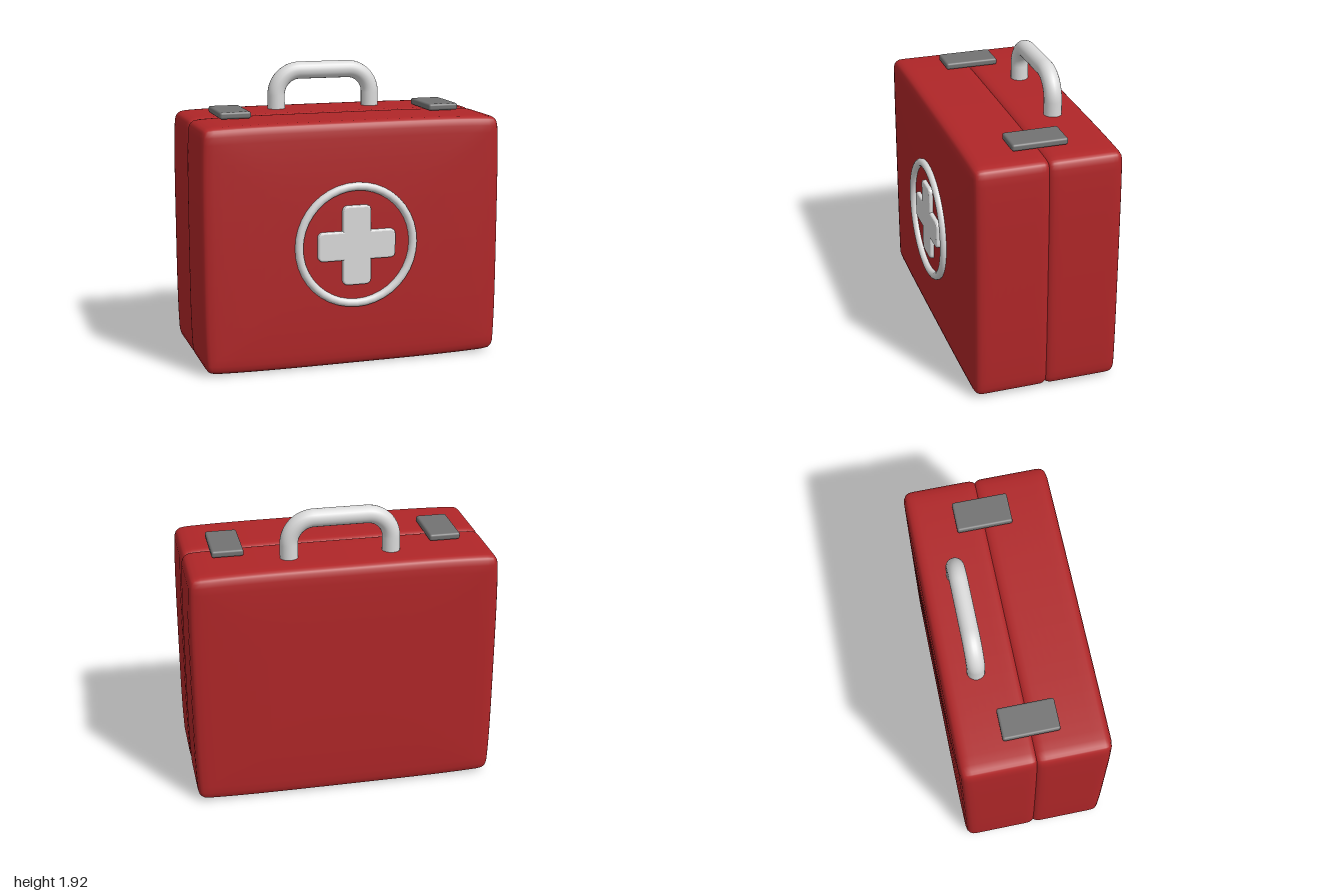
import * as THREE from 'three';
import { mergeVertices } from 'three/addons/utils/BufferGeometryUtils.js';
import { RoundedBoxGeometry } from 'three/addons/geometries/RoundedBoxGeometry.js';

const material = (name, color) => {
  const m = new THREE.MeshStandardMaterial({ color });
  m.name = name;
  return m;
};

// Box with rounded edges whose faces swell slightly towards their middles
function softBox(w, h, d, radius, bulge) {
  const half = [w / 2, h / 2, d / 2];
  const g = new THREE.BoxGeometry(2, 2, 2, 24, 24, 16);
  g.deleteAttribute('normal');
  g.deleteAttribute('uv');
  const pos = g.attributes.position;
  for (let i = 0; i < pos.count; i++) {
    // Crowd the grid towards the edges
    const u = [pos.getX(i), pos.getY(i), pos.getZ(i)].map((c) => Math.sin(c * Math.PI / 2));
    const p = u.map((c, k) => c * half[k]);
    const core = p.map((c, k) => THREE.MathUtils.clamp(c, radius - half[k], half[k] - radius));
    const dir = new THREE.Vector3(...p.map((c, k) => c - core[k])).setLength(radius).toArray();
    const q = core.map((c, k) => c + dir[k]);
    const t = q.map((c, k) => (c / half[k]) ** 4);
    const out = q.map((c, k) => {
      const edge = Math.max(...t.filter((_, j) => j !== k && j !== 2 || (k === 2 && j !== 2)));
      return c - Math.sign(c) * bulge * edge * Math.abs(c / half[k]);
    });
    pos.setXYZ(i, ...out);
  }
  const merged = mergeVertices(g, 1e-4);
  merged.computeVertexNormals();
  return merged;
}

// Plus sign outline with rounded outer corners
function crossShape(reach, arm, r) {
  const s = new THREE.Shape();
  for (let k = 0; k < 4; k++) {
    const a = k * Math.PI / 2;
    const at = (x, y) => [x * Math.cos(a) - y * Math.sin(a), x * Math.sin(a) + y * Math.cos(a)];
    if (k === 0) s.moveTo(...at(arm, -arm));
    else s.lineTo(...at(arm, -arm));
    s.lineTo(...at(reach - r, -arm));
    s.quadraticCurveTo(...at(reach, -arm), ...at(reach, -arm + r));
    s.lineTo(...at(reach, arm - r));
    s.quadraticCurveTo(...at(reach, arm), ...at(reach - r, arm));
  }
  s.closePath();
  return s;
}

export function createModel() {
  const group = new THREE.Group();
  const red = material('case red', 0xb02628);
  const white = material('trim white', 0xdadada);
  const grey = material('latch grey', 0x727272);
  const add = (name, geometry, mat, x, y, z) => {
    const mesh = new THREE.Mesh(geometry, mat);
    mesh.name = name;
    mesh.position.set(x, y, z);
    group.add(mesh);
    return mesh;
  };

  // Two shells overlapping a little, leaving a shallow seam groove
  const shell = softBox(2, 1.61, 0.515, 0.06, 0.014);
  add('backShell', shell, red, 0, 0.805, -0.2475);
  add('frontShell', shell, red, 0, 0.805, 0.2125);

  // Carrying handle
  const hx = 0.33, top = 1.862, bend = 0.16;
  const v = (x, y) => new THREE.Vector3(x, y, 0);
  const path = new THREE.CurvePath();
  path.add(new THREE.LineCurve3(v(-hx, 1.56), v(-hx, top - bend)));
  path.add(new THREE.CubicBezierCurve3(v(-hx, top - bend), v(-hx, top - bend * 0.45),
    v(-hx + bend * 0.45, top), v(-hx + bend, top)));
  path.add(new THREE.LineCurve3(v(-hx + bend, top), v(hx - bend, top)));
  path.add(new THREE.CubicBezierCurve3(v(hx - bend, top), v(hx - bend * 0.45, top),
    v(hx, top - bend * 0.45), v(hx, top - bend)));
  path.add(new THREE.LineCurve3(v(hx, top - bend), v(hx, 1.56)));
  add('handle', new THREE.TubeGeometry(path, 64, 0.058, 20), white, 0, 0, -0.267);

  // Latches bridging the seam
  for (const [name, side] of [['leftLatch', 1], ['rightLatch', -1]]) {
    add(name, new RoundedBoxGeometry(0.205, 0.045, 0.36, 3, 0.015), grey, side * 0.708, 1.632, -0.017);
  }

  // Round emblem on the front
  add('emblemRing', new THREE.TorusGeometry(0.383, 0.027, 14, 40), white, 0, 0.81, 0.478);
  const cross = new THREE.ExtrudeGeometry(crossShape(0.248, 0.083, 0.025), {
    depth: 0.03, bevelThickness: 0.012, bevelSize: 0.012, bevelSegments: 3, curveSegments: 5,
  });
  add('emblemCross', cross, white, 0, 0.81, 0.455);

  return group;
}
